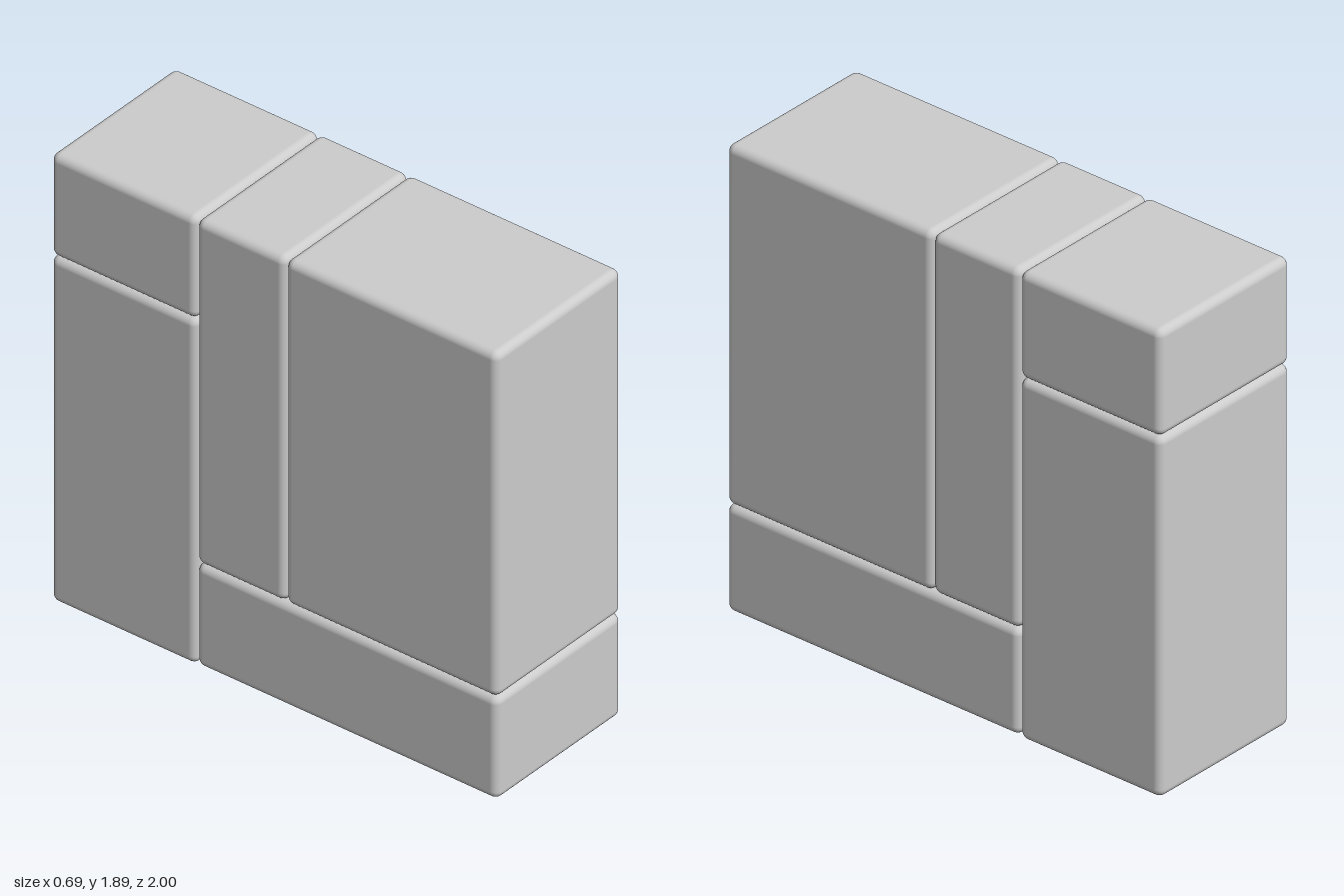
import * as THREE from 'three';
import { RoundedBoxGeometry } from 'three/addons/geometries/RoundedBoxGeometry.js';

const WIDTH = 0.695;
const EDGE_RADIUS = 0.032;

// name, bottom, top, back z, front z
const BLOCKS = [
  ['baseBlock', 0.005, 0.437, -0.348, 1],
  ['largeFrontBlock', 0.437, 1.89, 0.051, 1],
  ['slimMiddleBlock', 0.437, 1.89, -0.348, 0.051],
  ['tallRearBlock', 0, 1.458, -1, -0.348],
  ['rearTopBlock', 1.458, 1.89, -1, -0.348],
];

export function createModel() {
  const group = new THREE.Group();
  group.name = 'blockAssembly';
  const material = new THREE.MeshStandardMaterial({ color: 0xcccccc });

  // Softly rounded blocks packed into one slab
  for (const [name, bottom, top, back, front] of BLOCKS) {
    const geometry = new RoundedBoxGeometry(WIDTH, top - bottom, front - back, 4, EDGE_RADIUS);
    const block = new THREE.Mesh(geometry, material);
    block.name = name;
    block.position.set(0, (bottom + top) / 2, (back + front) / 2);
    group.add(block);
  }
  return group;
}
